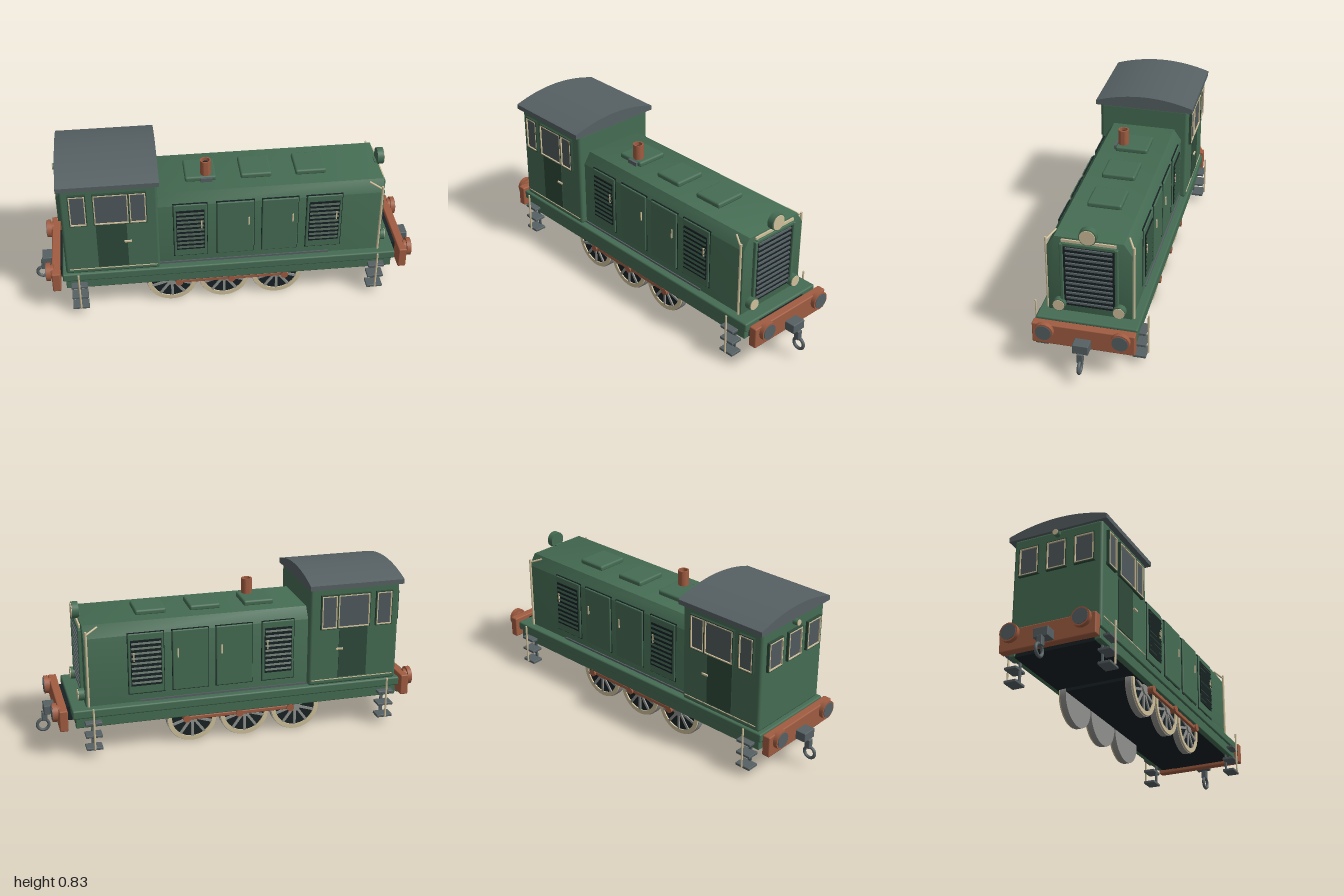
import * as THREE from 'three';
import { toCreasedNormals } from 'three/addons/utils/BufferGeometryUtils.js';
import { RoundedBoxGeometry } from 'three/addons/geometries/RoundedBoxGeometry.js';

const paint = (name, color) => Object.assign(new THREE.MeshStandardMaterial({ color }), { name });

export function createModel() {
  const green = paint('body green', 0x456c53);
  const darkGreen = paint('door green', 0x2f4a3a);
  const rust = paint('rust red', 0xa05c41);
  const grey = paint('slate grey', 0x566063);
  const cream = paint('cream', 0xcfc09b);
  const black = paint('black', 0x182124);
  const steel = paint('wheel steel', 0x8f918d);
  const glass = paint('window glass', 0x50595c);

  const model = new THREE.Group();
  model.name = 'locomotive';
  const add = (name, geo, mat, parent = model) => {
    const m = new THREE.Mesh(geo, mat);
    m.name = name;
    parent.add(m);
    return m;
  };
  // Box given by its limits on each axis; r rounds the edges
  const box = (name, mat, [x0, x1], [y0, y1], [z0, z1], r = 0, parent = model) => {
    const w = Math.abs(x1 - x0), h = y1 - y0, d = Math.abs(z1 - z0);
    const g = r ? new RoundedBoxGeometry(w, h, d, 2, r) : new THREE.BoxGeometry(w, h, d);
    return add(name, g.translate((x0 + x1) / 2, (y0 + y1) / 2, (z0 + z1) / 2), mat, parent);
  };
  // Cylinder along an axis, centred on (x, y, z)
  const rod = (name, mat, axis, r, len, x, y, z, parent = model, seg = 32) => {
    const g = new THREE.CylinderGeometry(r, r, len, seg);
    if (axis === 'x') g.rotateZ(-Math.PI / 2);
    if (axis === 'z') g.rotateX(Math.PI / 2);
    return add(name, g.translate(x, y, z), mat, parent);
  };
  // Cross-section in (z, y) pulled along x
  const pull = (name, mat, shape, x0, x1, bevel = 0) => {
    const g = new THREE.ExtrudeGeometry(shape, {
      depth: x1 - x0 - 2 * bevel, bevelEnabled: bevel > 0, bevelSize: bevel, bevelOffset: -bevel,
      bevelThickness: bevel, bevelSegments: 2, curveSegments: 24 });
    g.rotateY(Math.PI / 2).translate(x0 + bevel, 0, 0);
    return add(name, toCreasedNormals(g, 0.6), mat);
  };
  const poly = (pts) => new THREE.Shape(pts.map(([a, b]) => new THREE.Vector2(a, b)));
  // Four-sided border in the x-y plane
  const border = (name, mat, [x0, x1], [y0, y1], t, z, depth, parent) => {
    const s = poly([[x0, y0], [x1, y0], [x1, y1], [x0, y1]]);
    s.holes.push(poly([[x0 + t, y0 + t], [x0 + t, y1 - t], [x1 - t, y1 - t], [x1 - t, y0 + t]]));
    const g = new THREE.ExtrudeGeometry(s, { depth, bevelEnabled: false });
    return add(name, g.translate(0, 0, z), mat, parent);
  };

  // Chassis
  box('footplate', green, [-0.85, 0.84], [0.203, 0.248], [-0.242, 0.242], 0.008);
  for (const s of [1, -1]) box('valance', green, [-0.835, 0.825], [0.152, 0.21], [s * 0.2, s * 0.232], 0.005);
  box('underside', black, [-0.83, 0.82], [0.15, 0.21], [-0.205, 0.205]);
  box('innerFrame', black, [-0.43, 0.375], [0.135, 0.16], [-0.165, 0.165]);

  // Hood with chamfered shoulders
  pull('hood', green, poly([[-0.2, 0.245], [0.2, 0.245], [0.2, 0.597], [0.162, 0.655], [-0.162, 0.655], [-0.2, 0.597]]), -0.37, 0.768, 0.004);
  box('hoodSill', grey, [-0.36, 0.5], [0.246, 0.258], [-0.206, 0.206]);
  [[-0.215, -0.06], [0.062, 0.217], [0.337, 0.492]].forEach((x) =>
    box('roofHatch', green, x, [0.65, 0.679], [-0.083, 0.083], 0.01));

  // Exhaust
  box('exhaustBase', grey, [-0.14, -0.08], [0.655, 0.675], [0.03, 0.095]);
  const stack = [[0.027, 0.66], [0.027, 0.757], [0.02, 0.757], [0.02, 0.735]].map(([r, y]) => new THREE.Vector2(r, y));
  add('exhaust', toCreasedNormals(new THREE.LatheGeometry(stack, 24), 0.6).translate(-0.11, 0, 0.05), rust);
  rod('exhaustInside', black, 'y', 0.021, 0.004, -0.11, 0.737, 0.05);

  // Radiator grille
  box('grille', black, [0.76, 0.774], [0.285, 0.615], [-0.122, 0.122]);
  for (let i = 0; i < 12; i++) {
    const y = 0.305 + i * 0.0269;
    box('grilleSlat', grey, [0.77, 0.781], [y - 0.0045, y + 0.0045], [-0.11, 0.11]);
  }
  for (const s of [1, -1]) box('grilleSide', green, [0.762, 0.784], [0.27, 0.625], [s * 0.121, s * 0.137], 0.004);
  box('grilleTop', green, [0.762, 0.782], [0.612, 0.63], [-0.125, 0.125], 0.004);
  box('grilleTrim', cream, [0.762, 0.776], [0.633, 0.646], [-0.128, 0.128]);

  // Lamps
  const lamp = (x, y, z, r, len, dir = 1) => {
    rod('lampHousing', green, 'x', r, len, x - dir * len / 2, y, z);
    rod('lampLens', cream, 'x', r * 0.88, 0.005, x + dir * 0.001, y, z);
  };
  lamp(0.793, 0.682, 0, 0.042, 0.032);
  box('lampBracket', green, [0.75, 0.77], [0.64, 0.66], [-0.02, 0.02]);
  for (const s of [1, -1]) lamp(0.797, 0.294, s * 0.143, 0.031, 0.035);
  lamp(-0.855, 0.742, 0, 0.016, 0.03, -1);

  // Cab and arched roof
  box('cab', green, [-0.83, -0.36], [0.245, 0.765], [-0.232, 0.232], 0.014);
  const arch = new THREE.Shape();
  arch.moveTo(-0.257, 0.76);
  arch.lineTo(0.257, 0.76);
  arch.lineTo(0.257, 0.784);
  arch.quadraticCurveTo(0, 0.87, -0.257, 0.784);
  arch.closePath();
  pull('cabRoof', grey, arch, -0.842, -0.35);

  // Framed window facing +z, at local z = 0
  const windowPane = (x, y, parent) => {
    const [x0, x1] = x, [y0, y1] = y;
    border('windowFrame', darkGreen, [x0 - 0.005, x1 + 0.005], [y0 - 0.005, y1 + 0.005], 0.008, -0.003, 0.016, parent);
    border('windowTrim', cream, x, y, 0.005, 0, 0.015, parent);
    box('windowGlass', glass, x, y, [0.001, 0.008], 0, parent);
  };

  // Everything on one flank, placed on +z; s mirrors it
  const flank = (s) => {
    const g = new THREE.Group();
    g.name = s > 0 ? 'frontFlank' : 'rearFlank';
    model.add(g);
    const cab = new THREE.Group();
    cab.name = 'cabSide';
    cab.position.z = s * 0.233;
    g.add(cab);
    [[-0.785, -0.708], [-0.668, -0.504], [-0.496, -0.418]].forEach((x) => windowPane(x, [0.552, 0.722], cab));
    box('cabDoor', darkGreen, [-0.665, -0.515], [0.282, 0.546], [-0.003, 0.003], 0, cab);
    box('doorHandle', cream, [-0.53, -0.495], [0.438, 0.446], [0.012, 0.02], 0, cab);
    box('cabTrim', cream, [-0.81, -0.375], [0.271, 0.275], [-0.003, 0.002], 0, cab);

    // Hood doors
    [[-0.07, 0.115], [0.155, 0.335]].forEach((x) => {
      box('hoodDoorGap', black, [x[0] - 0.003, x[1] + 0.003], [0.29, 0.608], [0.195, 0.202], 0, g);
      box('hoodDoor', green, x, [0.293, 0.605], [0.19, 0.21], 0.005, g);
      box('hoodDoorHandle', cream, [x[1] - 0.03, x[1] - 0.023], [0.465, 0.51], [0.208, 0.216], 0, g);
    });
    // Louvred panels
    [[-0.285, -0.12], [0.378, 0.555]].forEach((x) => {
      box('louvreGap', black, [x[0] - 0.003, x[1] + 0.003], [0.29, 0.608], [0.195, 0.202], 0, g);
      box('louvrePanel', green, x, [0.293, 0.605], [0.19, 0.208], 0.005, g);
      box('louvreBack', black, [x[0] + 0.012, x[1] - 0.012], [0.335, 0.572], [0.2, 0.212], 0, g);
      for (let i = 0; i < 9; i++) {
        const slat = new THREE.BoxGeometry(x[1] - x[0] - 0.03, 0.012, 0.004);
        slat.rotateX(-0.6).translate((x[0] + x[1]) / 2, 0.352 + i * 0.0255, 0.213);
        add('louvreSlat', slat, darkGreen, g);
      }
      box('louvreHandle', cream, [x[1] - 0.03, x[1] - 0.024], [0.465, 0.51], [0.212, 0.218], 0, g);
    });

    // Hood handrail
    rod('handrail', cream, 'y', 0.006, 0.39, 0.755, 0.44, 0.206, g, 10);
    const bend = new THREE.LineCurve3(new THREE.Vector3(0.755, 0.62, 0.206), new THREE.Vector3(0.695, 0.645, 0.172));
    add('handrailTop', new THREE.TubeGeometry(bend, 1, 0.005, 8), cream, g);

    // Hanging steps with a grab pole
    [-0.77, 0.742].forEach((x) => {
      [0.181, 0.115, 0.049].forEach((y) =>
        box('step', grey, [x - 0.041, x + 0.041], [y - 0.007, y + 0.007], [0.205, 0.268], 0.003, g));
      box('stepHanger', grey, [x - 0.008, x + 0.008], [0.045, 0.2], [0.205, 0.213], 0, g);
      rod('grabPole', cream, 'y', 0.005, 0.213, x, 0.156, 0.272, g, 10);
    });

    // Spoked wheels and coupling rod
    [-0.302, -0.034, 0.238].forEach((x) => {
      const w = new THREE.Group();
      w.name = 'wheel';
      w.position.set(x, 0.13, 0);
      g.add(w);
      rod('wheelDisc', steel, 'z', 0.13, 0.031, 0, 0, 0.1715, w, 48);
      rod('wheelRecess', black, 'z', 0.108, 0.003, 0, 0, 0.188, w, 48);
      const ring = new THREE.Shape().absarc(0, 0, 0.126, 0, Math.PI * 2);
      ring.holes.push(new THREE.Path().absarc(0, 0, 0.104, 0, Math.PI * 2, true));
      add('tyre', new THREE.ExtrudeGeometry(ring, { depth: 0.01, bevelEnabled: false, curveSegments: 24 }).translate(0, 0, 0.186), cream, w);
      for (let i = 0; i < 10; i++) {
        const spoke = new THREE.BoxGeometry(0.013, 0.09, 0.008).translate(0, 0.061, 0.192);
        add('spoke', spoke.rotateZ(i * Math.PI / 5), steel, w);
      }
      rod('hub', steel, 'z', 0.026, 0.018, 0, 0, 0.195, w);
      rod('crankPin', rust, 'z', 0.019, 0.034, 0.035, 0.008, 0.216, w, 20);
    });
    box('couplingRod', rust, [-0.267, 0.273], [0.128, 0.148], [0.208, 0.224], 0.004, g);

    // Mirror the far flank: flip z and reverse the corners of each face
    if (s < 0) g.traverse((m) => {
      if (!m.isMesh) return;
      if (m.geometry.index) m.geometry = m.geometry.toNonIndexed();
      m.geometry.scale(1, 1, -1);
      for (const a of Object.values(m.geometry.attributes)) {
        for (let i = 0; i < a.count; i += 3) for (let k = 0; k < a.itemSize; k++) {
          const t = a.getComponent(i + 1, k);
          a.setComponent(i + 1, k, a.getComponent(i + 2, k));
          a.setComponent(i + 2, k, t);
        }
      }
    });
  };
  flank(1);
  flank(-1);

  // Cab end windows
  const cabEnd = new THREE.Group();
  cabEnd.name = 'cabEnd';
  cabEnd.position.x = -0.831;
  cabEnd.rotation.y = -Math.PI / 2;
  model.add(cabEnd);
  [-0.145, 0, 0.145].forEach((c) => windowPane([c - 0.048, c + 0.048], [0.56, 0.7], cabEnd));

  // End beams, bumpers and couplings at both ends
  for (const e of [1, -1]) {
    box('beamMount', black, [e * 0.82, e * 0.87], [0.165, 0.235], [-0.15, 0.15]);
    box('endBeam', rust, [e * 0.862, e * 0.904], [0.147, 0.255], [-0.243, 0.243], 0.006);
    for (const s of [1, -1]) {
      rod('bumperShank', rust, 'x', 0.034, 0.03, e * 0.91, 0.228, s * 0.18);
      rod('bumperHead', rust, 'x', 0.046, 0.022, e * 0.921, 0.228, s * 0.18);
      rod('bumperFace', grey, 'x', 0.038, 0.006, e * 0.932, 0.228, s * 0.18);
    }
    box('couplingBlock', grey, [e * 0.9, e * 0.958], [0.155, 0.203], [-0.038, 0.038], 0.004);
    box('couplingArm', grey, [e * 0.94, e * 0.968], [0.11, 0.16], [-0.014, 0.014], 0.004);
    add('couplingRing', new THREE.TorusGeometry(0.029, 0.008, 12, 32).translate(e * 0.963, 0.088, 0), grey);
  }
  return model;
}
